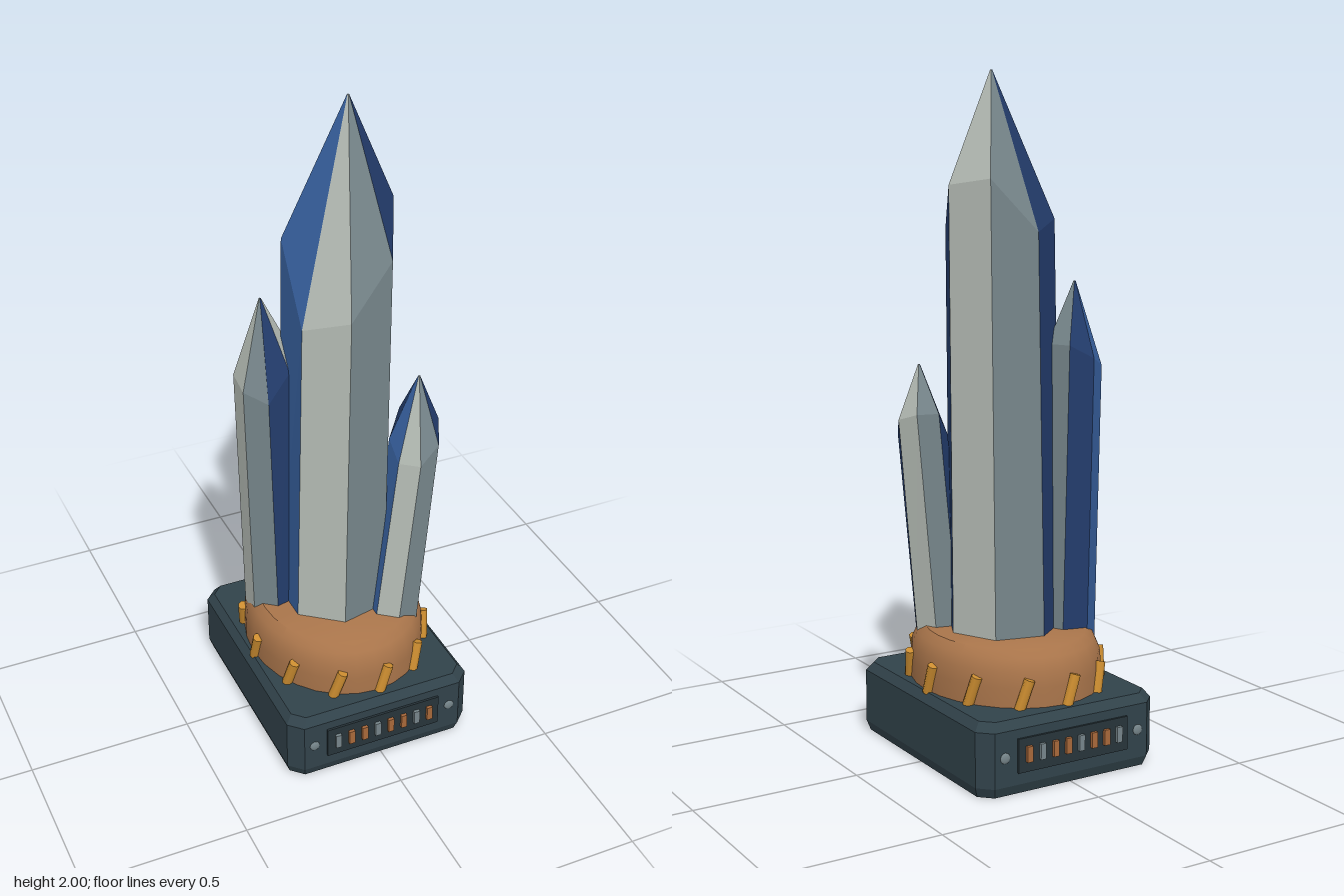
import * as THREE from 'three';
import { toCreasedNormals } from 'three/addons/utils/BufferGeometryUtils.js';

const mat = (name, color) => {
  const m = new THREE.MeshStandardMaterial({ color });
  m.name = name;
  return m;
};

// Flat-faced loft through rings of equal point count, counter-clockwise seen from
// above; side faces take their material index from faceGroup.
function loft(rings, faceGroup = () => 0) {
  const n = rings[0].length, pos = [], geo = new THREE.BufferGeometry();
  const tri = (...pts) => pts.forEach(p => pos.push(...p));
  for (let i = 0; i < n; i++) {
    const j = (i + 1) % n, start = pos.length / 3;
    for (let r = 0; r + 1 < rings.length; r++) {
      const a = rings[r][i], b = rings[r][j], c = rings[r + 1][j], d = rings[r + 1][i];
      tri(a, b, c);
      tri(a, c, d);
    }
    geo.addGroup(start, pos.length / 3 - start, faceGroup(i));
  }
  const start = pos.length / 3, bottom = rings[0], top = rings[rings.length - 1];
  for (let i = 1; i + 1 < n; i++) {
    tri(bottom[0], bottom[i + 1], bottom[i]);
    tri(top[0], top[i], top[i + 1]);
  }
  geo.addGroup(start, pos.length / 3 - start, faceGroup(0));
  geo.setAttribute('position', new THREE.Float32BufferAttribute(pos, 3));
  geo.computeVertexNormals();
  return geo;
}

// Seven-sided ring; heights may differ per corner. Corners run from +x towards -z.
const SIDES = 7;
const ring = (cx, cz, r, heightAt) => Array.from({ length: SIDES }, (_, i) => {
  const a = -i * 2 * Math.PI / SIDES;
  return [cx + r * Math.cos(a), heightAt(i), cz - 0 + r * Math.sin(a)];
});

// Rectangle with cut corners, counter-clockwise seen from above
function cutRect(hx, hz, cut, y) {
  return [
    [hx, y, hz - cut], [hx, y, -hz + cut], [hx - cut, y, -hz], [-hx + cut, y, -hz],
    [-hx, y, -hz + cut], [-hx, y, hz - cut], [-hx + cut, y, hz], [hx - cut, y, hz],
  ];
}

export function createModel() {
  const model = new THREE.Group();
  model.name = 'crystalDisplay';
  const body = mat('darkSlateHousing', 0x31424a);
  const trim = mat('panelTrim', 0x27343a);
  const brown = mat('brownMount', 0xa8744a);
  const gold = mat('goldPins', 0xcc8d30);
  const copper = mat('copperBars', 0xa8683a);
  const navy = mat('navyCrystal', 0x233c6c);
  const slate = mat('slateCrystal', 0x76858a);
  const pale = mat('paleCrystal', 0xb4bbb4);
  const blue = mat('blueCrystal', 0x37609e);

  const add = (parent, name, geo, material, x = 0, y = 0, z = 0) => {
    const m = new THREE.Mesh(geo, material);
    m.name = name;
    m.position.set(x, y, z);
    parent.add(m);
    return m;
  };

  // Housing with cut corners and bevelled rims
  add(model, 'housing', loft([
    cutRect(0.288, 0.358, 0.036, 0), cutRect(0.298, 0.37, 0.04, 0.03),
    cutRect(0.298, 0.37, 0.04, 0.192), cutRect(0.278, 0.35, 0.034, 0.217),
  ]), body);

  // Instrument panels on the front and back
  for (const side of [1, -1]) {
    const panel = new THREE.Group();
    panel.name = side > 0 ? 'frontPanel' : 'backPanel';
    model.add(panel);
    add(panel, 'panelPlate', new THREE.BoxGeometry(0.37, 0.1, 0.008), trim, 0, 0.115, side * 0.373);
    for (let i = 0; i < 8; i++) {
      add(panel, 'indicatorBar', new THREE.BoxGeometry(0.018, 0.046, 0.012),
        i % 3 ? copper : slate, -0.152 + i * 0.0434, 0.118, side * 0.381);
    }
    for (const x of [-0.225, 0.225]) {
      add(panel, 'screw', new THREE.SphereGeometry(0.016, 12, 6).scale(1, 1, 0.35), slate,
        x, 0.115, side * 0.37);
    }
  }

  // Oval rounded mount
  const profile = [[1, 0.21], [1, 0.275], [0.985, 0.32], [0.93, 0.355], [0.845, 0.375], [0, 0.375]]
    .map(([r, y]) => new THREE.Vector2(r, y));
  const mountGeo = new THREE.LatheGeometry(profile, 28).scale(0.27, 1, 0.323);
  add(model, 'mount', toCreasedNormals(mountGeo, 0.7), brown);

  // Leaning pins around the mount
  const pins = new THREE.Group();
  pins.name = 'pins';
  model.add(pins);
  const up = new THREE.Vector3(0, 1, 0);
  for (let i = 0; i < 12; i++) {
    const a = THREE.MathUtils.degToRad(25 + 30 * i);
    const pin = add(pins, 'pin', new THREE.CylinderGeometry(0.016, 0.016, 0.092, 8), gold,
      0.272 * Math.cos(a), 0.258, 0.326 * Math.sin(a));
    const lean = new THREE.Vector3(0.33 * Math.sin(a), 1, -0.33 * Math.cos(a)).normalize();
    pin.quaternion.setFromUnitVectors(up, lean);
  }

  // Crystals: leaning shaft, uneven shoulder and pointed tip
  const cycle = [pale, slate, navy, blue];
  const crystals = [
    { name: 'mainCrystal', base: [0.005, 0, 0.172], baseY: 0.34, mid: [0.022, 0, 0.163],
      shoulder: [1.68, 1.7, 1.55, 1.58, 1.36, 1.4, 1.55], tip: [0.045, 2, 0], shift: 0 },
    { name: 'leftCrystal', base: [-0.168, -0.075, 0.088], baseY: 0.33, mid: [-0.182, -0.082, 0.087],
      shoulder: [1.22, 1.22, 1.18, 1.15, 1.13, 1.1, 1.18], tip: [-0.186, 1.4, -0.085], shift: 6 },
    { name: 'rightCrystal', base: [0.14, 0.137, 0.082], baseY: 0.34, mid: [0.208, 0.127, 0.076],
      shoulder: [1.0, 1.02, 1.02, 0.95, 0.9, 0.9, 0.95], tip: [0.218, 1.16, 0.122], shift: 0 },
  ];
  // Colour order around a crystal, from the face just behind +x
  const order = [0, 1, 2, 3, 0, 1, 2];
  for (const c of crystals) {
    const [tx, ty, tz] = c.tip;
    const geo = loft([
      ring(c.base[0], c.base[1], c.base[2], () => c.baseY),
      ring(c.mid[0], c.mid[1], c.mid[2], i => c.shoulder[i]),
      ring(tx, tz, 0.003, () => ty),
    ], i => order[(i + c.shift + (c.shift ? 2 : 0)) % SIDES]);
    add(model, c.name, geo, cycle);
  }
  return model;
}
